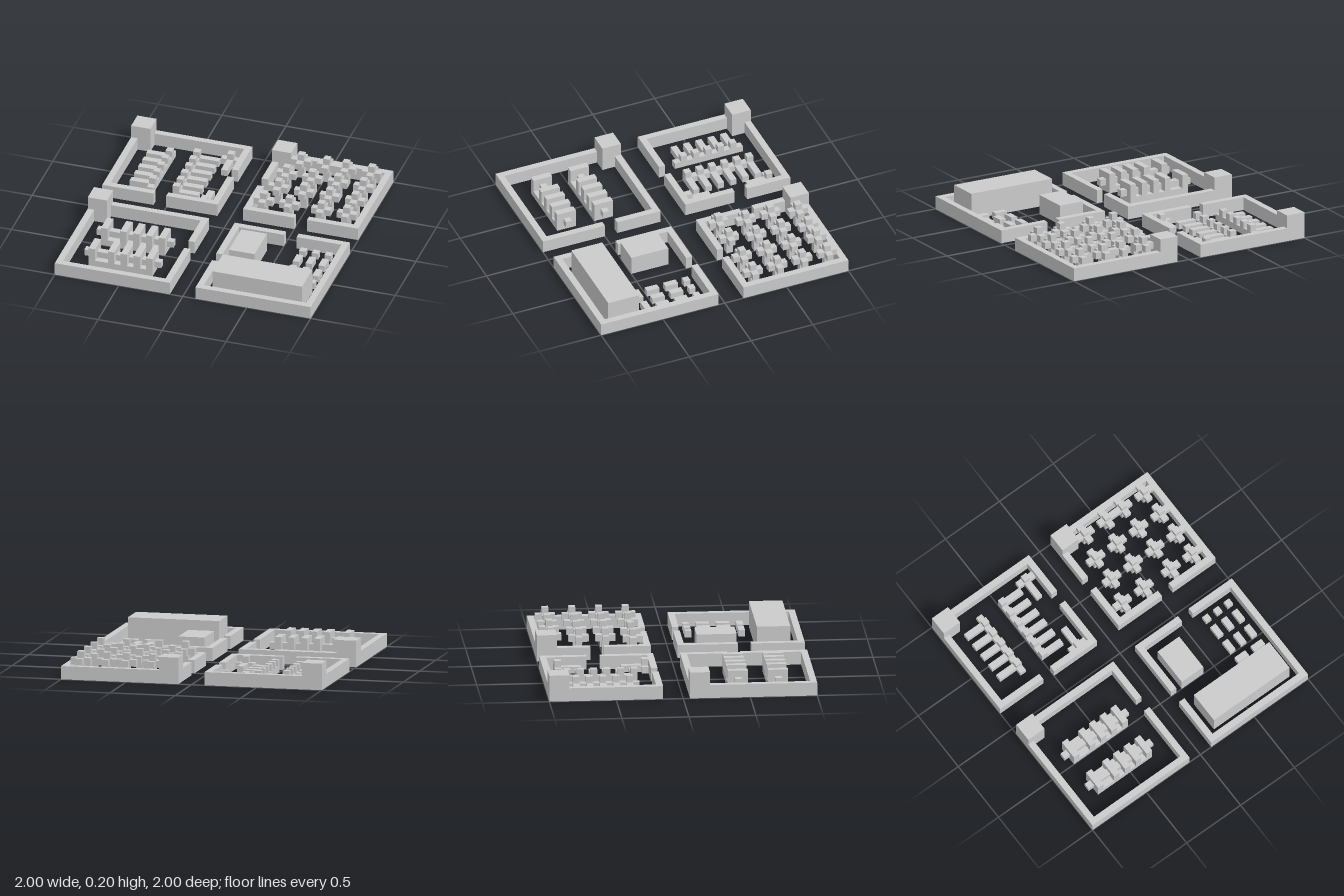
import * as THREE from 'three';

const material = new THREE.MeshStandardMaterial({ color: 0xcccccc, flatShading: true });

// Box given by its min and max on each axis
function block(parent, name, x0, x1, y0, y1, z0, z1) {
  const mesh = new THREE.Mesh(new THREE.BoxGeometry(x1 - x0, y1 - y0, z1 - z0), material);
  mesh.position.set((x0 + x1) / 2, (y0 + y1) / 2, (z0 + z1) / 2);
  mesh.name = name;
  parent.add(mesh);
}

function section(parent, name) {
  const group = new THREE.Group();
  group.name = name;
  parent.add(group);
  return group;
}

const U = 0.05; // grid unit, also the wall thickness
const WALL = 0.1;

// Wall runs along x at z, or along z at x; each run is [start, end]
function wallsX(parent, z, runs) {
  for (const [a, b] of runs) block(parent, 'wall', a, b, 0, WALL, z, z + U);
}
function wallsZ(parent, x, runs) {
  for (const [a, b] of runs) block(parent, 'wall', x, x + U, 0, WALL, a, b);
}
function tower(parent, x, z) {
  block(parent, 'cornerTower', x, x + 0.15, 0, 0.2, z, z + 0.15);
}

// Back left yard: two comb-shaped rows of bays and two desks
function buildBayYard(root) {
  const g = section(root, 'bayYard');
  wallsX(g, -1, [[-1, -0.1]]);
  wallsX(g, -0.2, [[-1, -0.6], [-0.5, -0.1]]);
  wallsZ(g, -1, [[-0.95, -0.2]]);
  wallsZ(g, -0.15, [[-0.95, -0.65], [-0.55, -0.2]]);
  tower(g, -1, -1);

  const comb = (spineX, toothX, firstZ, count) => {
    block(g, 'baySpine', spineX, spineX + U, 0, U, -0.85, -0.3);
    for (let i = 0; i < count; i++) {
      const z = firstZ + i * 0.1;
      block(g, 'bay', toothX, toothX + 0.15, 0, U, z, z + U);
      block(g, 'bayHead', spineX, spineX + U, U, 2 * U, z, z + U);
    }
  };
  comb(-0.7, -0.85, -0.8, 5);
  comb(-0.5, -0.45, -0.85, 6);

  for (const [barZ, stemZ] of [[-0.9, -0.85], [-0.25, -0.4]]) {
    block(g, 'deskBar', -0.3, -0.15, 0, U, barZ, barZ + U);
    block(g, 'deskStem', -0.25, -0.2, 0, U, stemZ, stemZ + 0.15);
    block(g, 'deskHead', -0.25, -0.2, U, 2 * U, barZ, barZ + U);
  }
}

// Back right yard: rows of trees with cross-shaped crowns
function buildOrchard(root) {
  const g = section(root, 'orchard');
  wallsX(g, -1, [[0.1, 1]]);
  wallsX(g, -0.2, [[0.1, 0.5], [0.6, 1]]);
  wallsZ(g, 0.1, [[-0.95, -0.6], [-0.5, -0.2]]);
  wallsZ(g, 0.95, [[-0.95, -0.2]]);
  tower(g, 0.1, -1);

  const rows = [
    [-0.875, [0.325, 0.525, 0.675, 0.875]],
    [-0.675, [0.275, 0.475, 0.675, 0.875]],
    [-0.475, [0.275, 0.475, 0.675, 0.875]],
    [-0.275, [0.225, 0.425, 0.675, 0.875]],
  ];
  const h = U / 2;
  for (const [z, xs] of rows) {
    for (const x of xs) {
      const tree = section(g, 'tree');
      block(tree, 'treeTrunk', x - h, x + h, 0, 0.2, z - h, z + h);
      for (const s of [-1, 1]) {
        const cx = x + s * U, cz = z + s * U;
        block(tree, 'treeBranch', cx - h, cx + h, 0.1, 0.15, z - h, z + h);
        block(tree, 'treeBranch', x - h, x + h, 0.1, 0.15, cz - h, cz + h);
      }
    }
  }
}

// Front left yard: two ribbed racks
function buildRackYard(root) {
  const g = section(root, 'rackYard');
  wallsX(g, 0.05, [[-1, -0.1]]);
  wallsX(g, 0.95, [[-1, -0.1]]);
  wallsZ(g, -1, [[0.1, 0.95]]);
  wallsZ(g, -0.15, [[0.1, 0.4], [0.5, 0.95]]);
  tower(g, -1, 0.05);

  for (const z of [0.35, 0.65]) {
    const rack = section(g, 'rack');
    block(rack, 'rackBase', -0.8, -0.3, 0, U, z, z + 0.15);
    block(rack, 'rackSpine', -0.85, -0.25, U, 2 * U, z + U, z + 2 * U);
    for (const x of [-0.8, -0.65, -0.55, -0.45, -0.35]) {
      block(rack, 'rackRib', x, x + U, U, 0.15, z, z + 0.15);
    }
  }
}

// Front right yard: two buildings and a plot of small blocks
function buildHallYard(root) {
  const g = section(root, 'hallYard');
  wallsX(g, 0.05, [[0.1, 0.5], [0.6, 1]]);
  wallsX(g, 0.95, [[0.1, 1]]);
  wallsZ(g, 0.1, [[0.1, 0.5], [0.6, 0.95]]);
  wallsZ(g, 0.95, [[0.1, 0.95]]);
  block(g, 'hall', 0.2, 0.9, 0, 0.2, 0.65, 0.9);
  block(g, 'annex', 0.2, 0.4, 0, 0.15, 0.2, 0.5);

  for (const x of [0.65, 0.75, 0.85]) {
    for (const [z0, z1] of [[0.15, 0.2], [0.25, 0.35], [0.4, 0.5]]) {
      block(g, 'plotBlock', x, x + U, 0, U, z0, z1);
    }
  }
  for (const x of [0.65, 0.8]) block(g, 'plotBench', x, x + 0.1, 0, U, 0.55, 0.6);
}

export function createModel() {
  const root = new THREE.Group();
  root.name = 'walledYards';
  buildBayYard(root);
  buildOrchard(root);
  buildRackYard(root);
  buildHallYard(root);
  return root;
}
